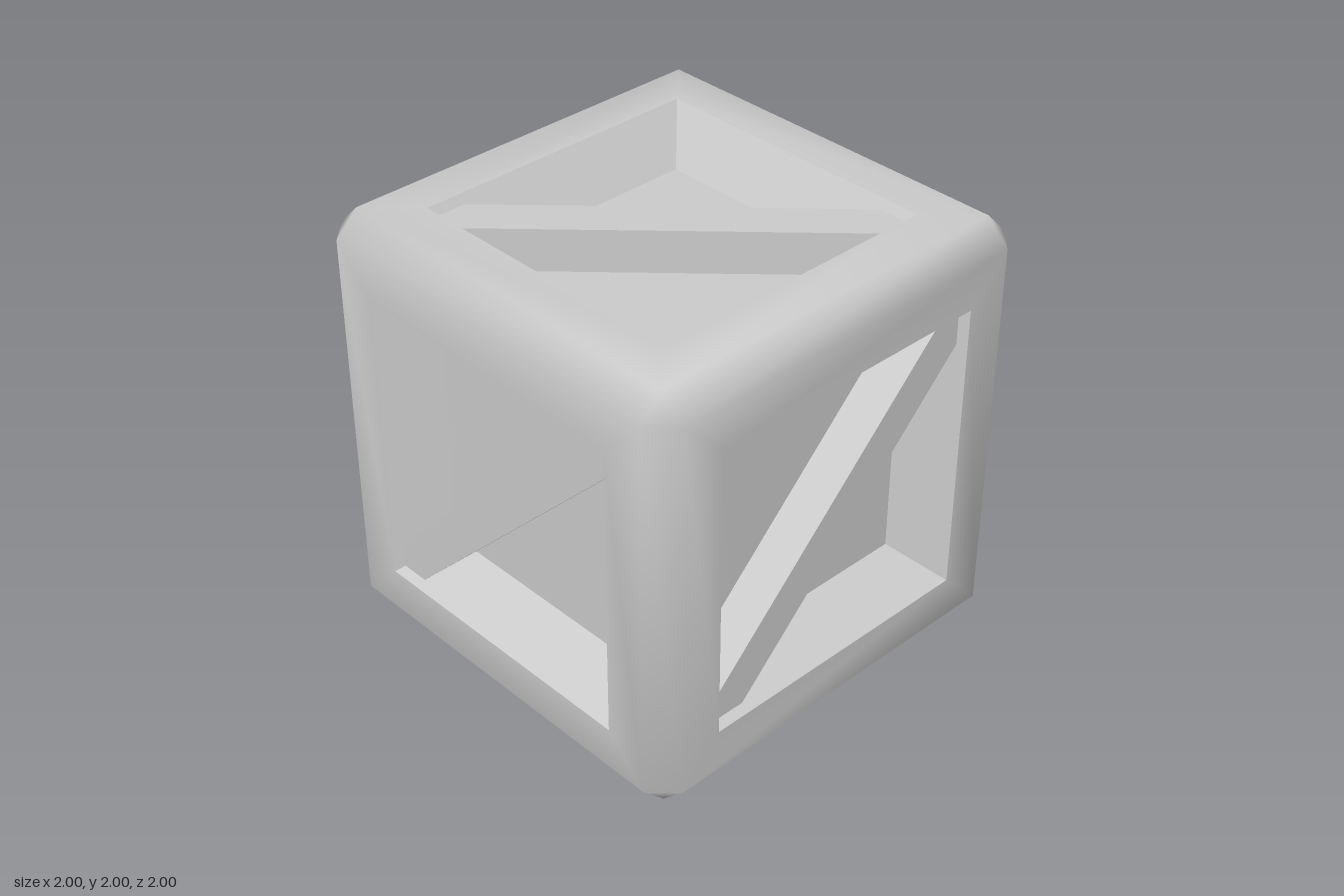
import * as THREE from 'three';
import { mergeVertices } from 'three/addons/utils/BufferGeometryUtils.js';

const FLAT = 0.89;   // half width of each flat side before the bevel
const RIM = 0.69;    // half width of the opening at the surface
const FLOOR = 0.54;  // half width of the recessed panel
const PANEL_Z = 0.77, BRACE_Z = 0.965;

// Bevelled cube shell with a square opening in every side, smooth shaded
function frameGeometry() {
  const pos = [];
  const turn = (k, v) => [v[(3 - k) % 3], v[(4 - k) % 3], v[(5 - k) % 3]];
  // Adds a triangle or quad, wound to face away from the centre
  const face = (k, ...corners) => {
    let p = corners.map((c) => new THREE.Vector3(...turn(k, c)));
    const n = p[1].clone().sub(p[0]).cross(p[2].clone().sub(p[0]));
    if (n.dot(p[0]) < 0) p = p.reverse();
    for (let i = 1; i < p.length - 1; i++) {
      for (const q of [p[0], p[i], p[i + 1]]) pos.push(q.x, q.y, q.z);
    }
  };
  const f = FLAT, r = RIM;
  for (let k = 0; k < 3; k++) {
    for (const s of [-1, 1]) {
      // four borders around the opening
      for (const t of [-1, 1]) {
        face(k, [-f, t * f, s], [f, t * f, s], [r, t * r, s], [-r, t * r, s]);
        face(k, [t * f, -f, s], [t * f, f, s], [t * r, r, s], [t * r, -r, s]);
        // edge bevel
        face(k, [s, t * f, -f], [s, t * f, f], [s * f, t, f], [s * f, t, -f]);
      }
    }
  }
  // corner facets
  for (const x of [-1, 1]) for (const y of [-1, 1]) for (const z of [-1, 1]) {
    face(0, [x, y * f, z * f], [x * f, y, z * f], [x * f, y * f, z]);
  }
  const g = new THREE.BufferGeometry();
  g.setAttribute('position', new THREE.Float32BufferAttribute(pos, 3));
  const merged = mergeVertices(g, 1e-4);
  merged.computeVertexNormals();
  return merged;
}

// Diagonal brace with its ends cut to fit the corners of the opening
function braceGeometry() {
  const e = 0.66, c = 0.525, back = PANEL_Z - 0.04;
  const outline = [[-e, -e], [-c, -e], [e, c], [e, e], [c, e], [-e, -c]];
  const shape = new THREE.Shape(outline.map(([x, y]) => new THREE.Vector2(x, y)));
  return new THREE.ExtrudeGeometry(shape, { depth: BRACE_Z - back, bevelEnabled: false })
    .translate(0, 0, back);
}

export function createModel() {
  const model = new THREE.Group();
  model.name = 'crate';
  const smooth = new THREE.MeshStandardMaterial({ color: 0xcccccc });
  const flat = new THREE.MeshStandardMaterial({
    color: 0xcccccc, flatShading: true, side: THREE.DoubleSide,
  });
  const add = (parent, name, geometry, material) => {
    const mesh = new THREE.Mesh(geometry, material);
    mesh.name = name;
    parent.add(mesh);
  };

  const body = new THREE.Group();
  body.name = 'body';
  body.position.y = 1;
  model.add(body);
  add(body, 'frame', frameGeometry(), smooth);

  // Sloping walls of the recess, shared by all sides
  const depth = 1 - PANEL_Z;
  const walls = new THREE.CylinderGeometry(RIM * Math.SQRT2, FLOOR * Math.SQRT2, depth, 4, 1, true)
    .rotateY(Math.PI / 4).rotateX(Math.PI / 2).translate(0, 0, 1 - depth / 2);
  const panel = new THREE.PlaneGeometry(2 * FLOOR, 2 * FLOOR).translate(0, 0, PANEL_Z);
  const brace = braceGeometry();

  // Half turn about the brace diagonal gives the opposite side
  const flip = new THREE.Quaternion()
    .setFromAxisAngle(new THREE.Vector3(1, 1, 0).normalize(), Math.PI);
  const sides = [
    ['front', 'back', 0, 0],
    ['left', 'right', 0, Math.PI / 2],
    ['top', 'bottom', -Math.PI / 2, 0],
  ];
  for (const [name, opposite, rx, ry] of sides) {
    for (const flipped of [false, true]) {
      const side = new THREE.Group();
      side.name = (flipped ? opposite : name) + 'Side';
      side.quaternion.setFromEuler(new THREE.Euler(rx, ry, 0));
      if (flipped) side.quaternion.multiply(flip);
      add(side, 'recessWalls', walls, flat);
      add(side, 'panel', panel, flat);
      add(side, 'diagonalBrace', brace, flat);
      body.add(side);
    }
  }
  return model;
}
